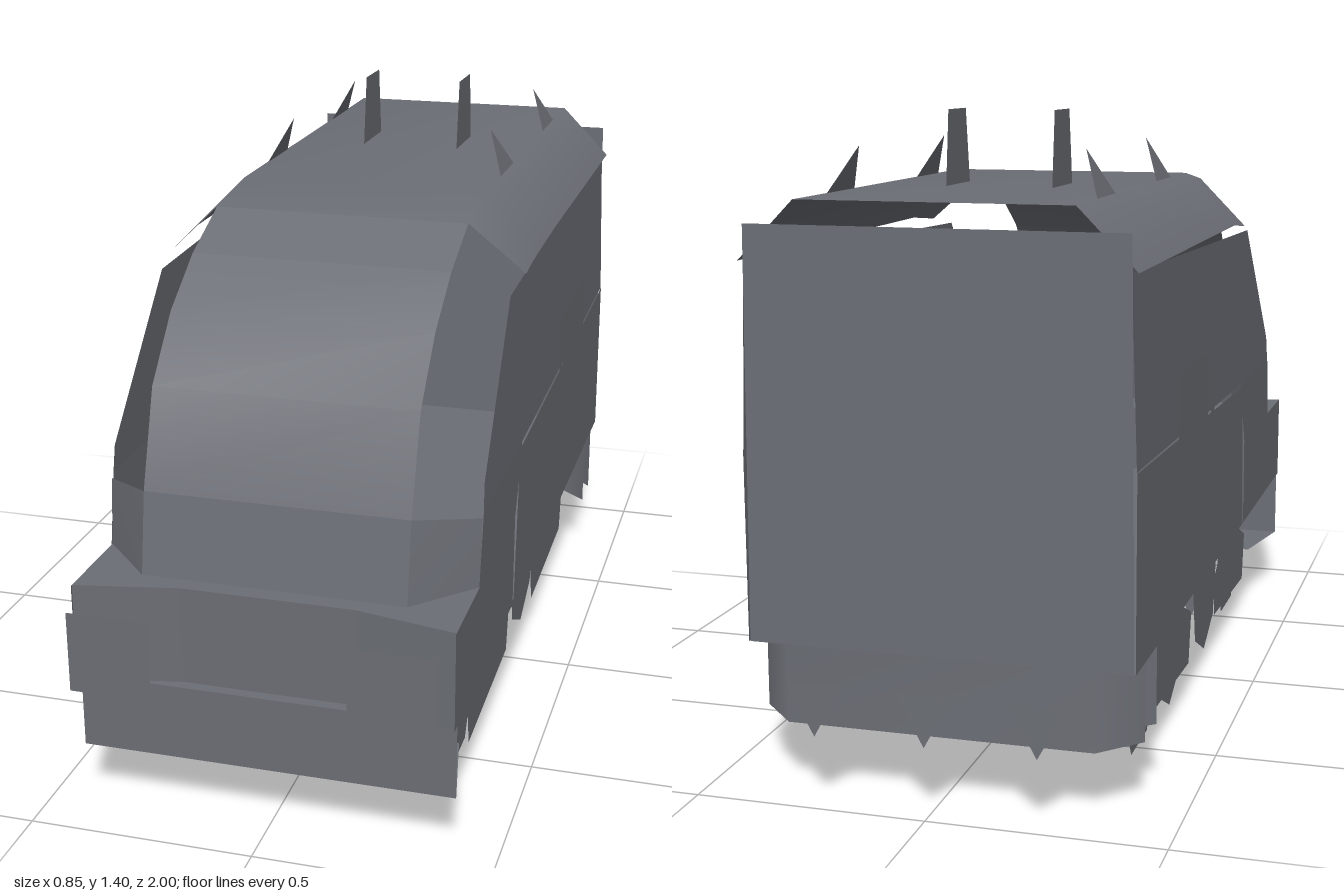
import * as THREE from 'three';

export function createModel() {
  const root = new THREE.Group();
  root.name = 'locomotive';
  const grey = new THREE.MeshStandardMaterial({ color: 0x6b6e75, side: THREE.DoubleSide });
  grey.name = 'slate grey';

  const add = (name, geo) => {
    const mesh = new THREE.Mesh(geo, grey);
    mesh.name = name;
    root.add(mesh);
    return mesh;
  };

  // Mirrors a geometry across x, keeping faces outward
  const mirrored = (geo) => {
    const g = geo.clone().scale(-1, 1, 1);
    const a = g.index.array;
    for (let i = 0; i < a.length; i += 3) [a[i], a[i + 2]] = [a[i + 2], a[i]];
    g.computeVertexNormals();
    return g;
  };
  const pair = (name, geo) => {
    add(name + 'Left', geo);
    add(name + 'Right', mirrored(geo));
  };

  // Flat convex polygon from 3D corners, counter-clockwise from outside
  const poly = (pts) => {
    const g = new THREE.BufferGeometry();
    const idx = [];
    for (let i = 1; i < pts.length - 1; i++) idx.push(0, i, i + 1);
    g.setAttribute('position', new THREE.Float32BufferAttribute(pts.flat(), 3));
    g.setIndex(idx);
    g.computeVertexNormals();
    return g;
  };

  // Side plate from a [z, y] outline; xAt gives the x for each height
  const plate = (outline, xAt) => {
    const g = new THREE.ShapeGeometry(new THREE.Shape(outline.map(([z, y]) => new THREE.Vector2(-z, y))));
    const p = g.attributes.position;
    for (let i = 0; i < p.count; i++) {
      const u = p.getX(i), y = p.getY(i);
      p.setXYZ(i, xAt(y), y, -u);
    }
    g.computeVertexNormals();
    return g;
  };

  // Smooth sheet through rows of points
  const loft = (rows) => {
    const g = new THREE.BufferGeometry();
    const n = rows[0].length, idx = [];
    for (let r = 0; r < rows.length - 1; r++) {
      for (let c = 0; c < n - 1; c++) {
        const a = r * n + c, b = a + n;
        idx.push(a, b, a + 1, a + 1, b, b + 1);
      }
    }
    g.setAttribute('position', new THREE.Float32BufferAttribute(rows.flat(2), 3));
    g.setIndex(idx);
    g.computeVertexNormals();
    return g;
  };

  // Body sides: lower and upper panels with thin gaps
  pair('lowerSideRear', plate([[0.315, 0.32], [0.285, 0.62], [0.26, 0.69], [-0.84, 0.725], [-0.915, 0.728], [-0.915, 0.32]], () => 0.413));
  pair('lowerSideFront', plate([[0.92, 0.32], [0.92, 0.54], [0.705, 0.54], [0.675, 0.7], [0.26, 0.7], [0.26, 0.69], [0.285, 0.62], [0.322, 0.54], [0.325, 0.32]], () => 0.413));
  pair('upperSide', plate([[0.675, 0.7], [0.665, 0.76], [0.38, 1.08], [-0.915, 1.115], [-0.915, 0.728], [-0.84, 0.728], [0.26, 0.7]],
    (y) => 0.413 - 0.013 * (y - 0.7) / 0.4));

  // Rear wall
  add('rearWall', poly([[0.41, 0.32, -0.915], [-0.41, 0.32, -0.915], [-0.4, 1.19, -0.915], [0.4, 1.19, -0.915]]));

  // Floor, reaching forward as a shelf over the skirt
  add('floor', poly([[-0.41, 0.32, -0.915], [0.41, 0.32, -0.915], [0.41, 0.32, 0.895], [-0.41, 0.32, 0.895]]));

  // Roof with sloped shoulders and a drooping front lip
  const roofRow = (z, zEdge, y, yEdge) => [[-0.413, yEdge, zEdge], [-0.29, y, z], [0.29, y, z], [0.413, yEdge, zEdge]];
  add('roof', loft([roofRow(-0.915, -0.915, 1.24, 1.115), roofRow(0.12, 0.12, 1.24, 1.115), roofRow(0.31, 0.27, 1.215, 1.1)]));

  // Curved roof brow and windscreen
  const strip = (profile) => loft(profile.map(([z, y]) => [[-0.29, y, z], [0.29, y, z]]));
  add('roofBrow', strip([[0.31, 1.215], [0.47, 1.15]]));
  add('windscreen', strip([[0.47, 1.15], [0.61, 1.06], [0.73, 0.93], [0.8, 0.72]]));

  // Panel below the windscreen, with swept corners
  add('screenBase', poly([[-0.29, 0.54, 0.83], [0.29, 0.54, 0.83], [0.29, 0.72, 0.8], [-0.29, 0.72, 0.8]]));
  pair('screenCorner', poly([[0.29, 0.54, 0.83], [0.413, 0.54, 0.7], [0.413, 0.69, 0.685], [0.29, 0.72, 0.8]]));

  // Nose deck and slightly hollow nose front
  const nose = [[-0.413, 0.915], [-0.19, 0.87], [0.19, 0.87], [0.413, 0.915]];
  add('noseDeck', loft([nose.map(([x]) => [x, 0.54, 0.68]), nose.map(([x, z]) => [x, 0.54, z])]));
  for (let i = 0; i < 3; i++) {
    const [[x0, z0], [x1, z1]] = [nose[i], nose[i + 1]];
    add('noseFront' + i, poly([[x0, 0.32, z0], [x1, 0.32, z1], [x1, 0.54, z1], [x0, 0.54, z0]]));
  }

  // Headlight plates standing ahead of the nose
  pair('headlight', poly([[0.21, 0.34, 1], [0.39, 0.34, 1], [0.39, 0.52, 1], [0.21, 0.52, 1]]));

  // Front skirt and the tray under it
  add('frontSkirt', poly([[-0.413, 0.15, 0.895], [0.413, 0.15, 0.895], [0.413, 0.32, 0.895], [-0.413, 0.32, 0.895]]));
  add('frontTray', poly([[-0.413, 0.15, 0.895], [-0.37, 0.15, 0.68], [0.37, 0.15, 0.68], [0.413, 0.15, 0.895]]));

  // Rear skirt and the step panel ahead of it, both swept round the corners
  const sweptSkirt = (z, sweep) => loft([0.32, 0.15].map((y) =>
    [[0.413, y, z + sweep], [0.33, y, z], [-0.33, y, z], [-0.413, y, z + sweep]]));
  add('rearSkirt', sweptSkirt(-0.912, 0.087));
  add('rearStep', sweptSkirt(-0.79, 0.07));

  // Triangular rear fittings
  for (const x of [-0.235, 0, 0.235]) {
    add('rearFitting', poly([[x + 0.06, 0.27, -1], [x, 0.16, -1], [x - 0.06, 0.27, -1]]));
  }

  // Side window and its slim frame slivers
  pair('sideWindow', plate([[-0.23, 0.61], [-0.23, 0.86], [-0.555, 0.86], [-0.555, 0.61]], () => 0.42));
  pair('windowFrameFront', plate([[-0.16, 0.545], [-0.175, 0.91], [-0.23, 0.605]], () => 0.423));
  pair('windowFrameBottom', plate([[-0.16, 0.545], [-0.23, 0.605], [-0.605, 0.555]], () => 0.423));

  // Roof vents: leaning triangles and two upright fins
  for (const z of [-0.122, -0.667]) {
    pair('roofVent', poly([[0.29, 1.235, z + 0.08], [0.29, 1.235, z - 0.08], [0.245, 1.335, z]]));
  }
  pair('roofFin', plate([[-0.31, 1.24], [-0.335, 1.405], [-0.455, 1.405], [-0.475, 1.24]], () => 0.12));

  // Fuel tank: rounded trough under the middle
  const trough = [[-0.38, 0.32], [-0.32, 0.23], [-0.22, 0.15], [0.22, 0.15], [0.32, 0.23], [0.38, 0.32]];
  add('fuelTank', loft([-0.128, 0.128].map((z) => trough.map(([x, y]) => [x, y, z]))));

  // Trucks: half drum, beam, hangers, flat wheels and side frames
  const disc = (z, y, r, n, turn) => plate(Array.from({ length: n }, (_, i) => {
    const a = turn + i * 2 * Math.PI / n;
    return [z + r * Math.cos(a), y + r * Math.sin(a)];
  }), () => 0.335);
  for (const s of [1, -1]) {
    const arc = Array.from({ length: 9 }, (_, i) => Math.PI * i / 8);
    add('truckDrum', loft([0.25, -0.25].map((x) =>
      arc.map((a) => [x, 0.31 - 0.235 * Math.sin(a), 0.3 * s + 0.2 * Math.cos(a)]))));
    const beam = new THREE.BoxGeometry(0.66, 0.045, 0.44);
    beam.translate(0, 0.2975, 0.36 * s);
    add('truckBeam', beam);
    pair('truckHanger', poly([[0.25, 0.15, 0.26 * s], [0.29, 0.075, 0.26 * s], [0.33, 0.15, 0.26 * s]]));
    pair('outerWheel', disc(0.535 * s, 0.165, 0.154, 6, 0));
    pair('innerWheel', disc(0.215 * s, 0.16, 0.155, 7, -Math.PI / 2));
    const shift = s > 0 ? 0 : -0.745;
    pair('truckFrame', plate([[0.605, 0.215], [0.58, 0.095], [0.165, 0.115], [0.145, 0.21], [0.28, 0.28], [0.45, 0.28]]
      .map(([z, y]) => [z + shift, y]), () => 0.37));
  }

  return root;
}
